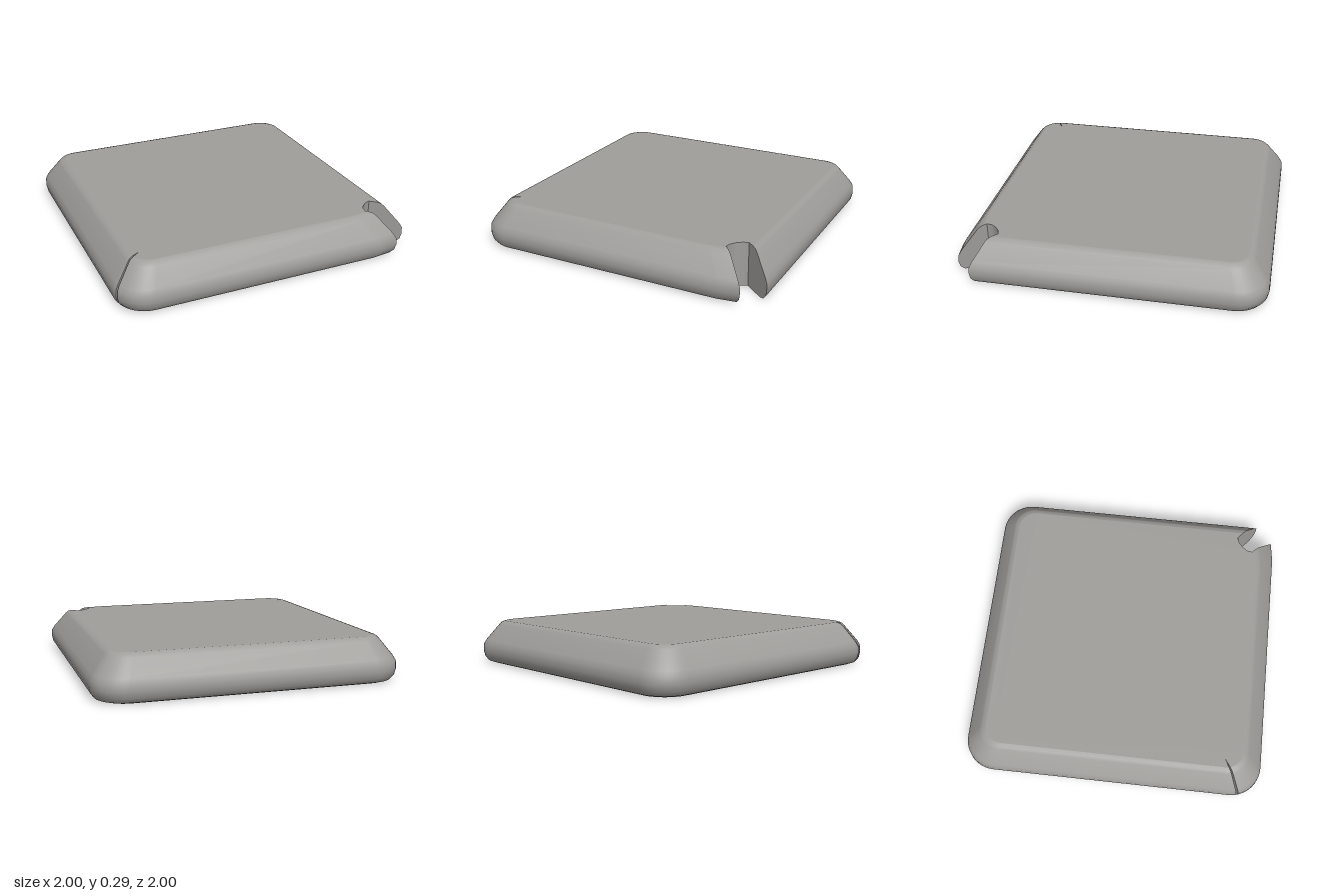
import * as THREE from 'three';
import { toCreasedNormals } from 'three/addons/utils/BufferGeometryUtils.js';

// Slab profile from underside to top: [half width, height]
const PROFILE = [
  [0.94, 0], [0.972, 0.012], [0.992, 0.04], [1, 0.08], [0.998, 0.125],
  [0.98, 0.158], [0.9, 0.264], [0.885, 0.28], [0.86, 0.288],
];
// Rounded inner end of the corner notch: [x, z]
const NOTCH = [[0.72, 0.83], [0.725, 0.795], [0.75, 0.76], [0.785, 0.732], [0.82, 0.72]];
const CRACK_TIP = [-0.8, 0.74];

// Outline at one level, counter-clockwise seen from above
function outline(h) {
  const r = 0.2 - (1 - h) * 0.6;
  const c = h - r;
  const pts = [[h, 0.72 + (h - 0.82) * 0.83]];
  const arc = (cx, cz, start, degrees) => degrees.forEach((d) => {
    const a = THREE.MathUtils.degToRad(start + d);
    pts.push([cx + r * Math.cos(a), cz - r * Math.sin(a)]);
  });
  const round = [0, 10, 20, 30, 40, 50, 60, 70, 80, 90];
  arc(c, -c, 0, round);
  arc(-c, -c, 90, round);
  // Front corner with a narrow crack running inwards
  arc(-c, c, 180, [0, 7, 14]);
  pts.push(CRACK_TIP);
  arc(-c, c, 180, [18, 30, 40, 50, 60, 70, 80, 90]);
  // Front edge up to the notch mouth, then around the notch
  const z = h - 0.017;
  pts.push([h - 0.25, h], [0.72 + (z - 0.83) / 0.956, z], ...NOTCH);
  return pts;
}

function geometryFrom(points, index) {
  const geo = new THREE.BufferGeometry();
  geo.setAttribute('position', new THREE.Float32BufferAttribute(points, 3));
  geo.setIndex(index);
  return geo;
}

// Bevelled walls, including the notch and crack walls
function wallGeometry() {
  const points = [], index = [];
  const n = outline(1).length;
  PROFILE.forEach(([h, y], k) => {
    outline(h).forEach(([x, z], i) => {
      points.push(x, y, z);
      if (k === 0) return;
      const a = (k - 1) * n + i, b = (k - 1) * n + (i + 1) % n;
      index.push(a, b, b + n, a, b + n, a + n);
    });
  });
  return toCreasedNormals(geometryFrom(points, index).toNonIndexed(), 0.7);
}

// Flat face closing one end of the walls
function capGeometry([h, y], faceUp) {
  const loop = outline(h);
  const faces = THREE.ShapeUtils.triangulateShape(loop.map(([x, z]) => new THREE.Vector2(x, -z)), []);
  const index = faces.flatMap(([a, b, c]) => (faceUp ? [a, b, c] : [a, c, b]));
  const geo = geometryFrom(loop.flatMap(([x, z]) => [x, y, z]), index);
  geo.computeVertexNormals();
  return geo;
}

export function createModel() {
  const stone = new THREE.MeshStandardMaterial({ color: 0xa09e9b });
  stone.name = 'stone grey';
  const group = new THREE.Group();
  group.name = 'notchedSlab';
  const add = (name, geo) => {
    const mesh = new THREE.Mesh(geo, stone);
    mesh.name = name;
    group.add(mesh);
  };
  add('bevelledSides', wallGeometry());
  add('topFace', capGeometry(PROFILE[PROFILE.length - 1], true));
  add('underside', capGeometry(PROFILE[0], false));
  return group;
}
